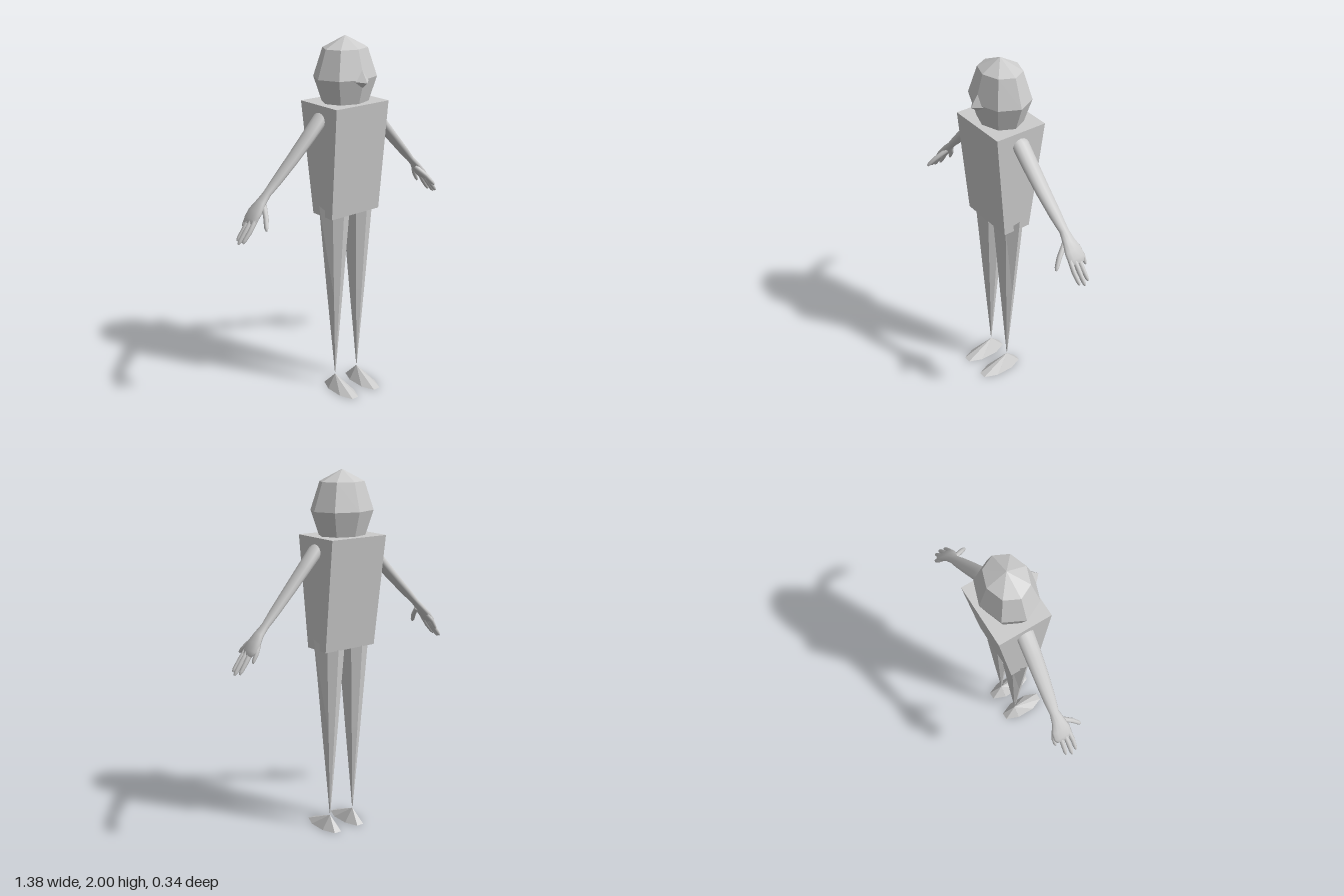
import * as THREE from 'three';

const V = (x, y, z) => new THREE.Vector3(x, y, z);
const material = (flatShading) => new THREE.MeshStandardMaterial({ color: 0xcccccc, flatShading, side: THREE.DoubleSide });
const flat = material(true), smooth = material(false);

function part(name, geometry, mat) {
  const mesh = new THREE.Mesh(geometry, mat);
  mesh.name = name;
  return mesh;
}

// Skin a list of rings, each running counterclockwise about the travel direction
function loft(rings, capStart, capEnd) {
  const n = rings[0].length, points = rings.flat(), index = [];
  for (let i = 0; i < rings.length - 1; i++) {
    for (let j = 0; j < n; j++) {
      const a = i * n + j, b = i * n + (j + 1) % n;
      index.push(a, b, a + n, b, b + n, a + n);
    }
  }
  const cap = (ring, start, flip) => {
    const c = points.length;
    points.push(ring.reduce((s, p) => s.add(p), V(0, 0, 0)).divideScalar(n));
    for (let j = 0; j < n; j++) {
      const a = start + j, b = start + (j + 1) % n;
      index.push(c, flip ? b : a, flip ? a : b);
    }
  };
  if (capStart) cap(rings[0], 0, true);
  if (capEnd) cap(rings.at(-1), (rings.length - 1) * n, false);
  const g = new THREE.BufferGeometry().setFromPoints(points);
  g.setIndex(index);
  g.computeVertexNormals();
  return g;
}

// Horizontal ring about the y axis
const ringY = (n, fn, offset = 0) =>
  Array.from({ length: n }, (_, j) => fn(((j + offset) / n) * Math.PI * 2));

// Tapered limb: stations are [x, y, z, thickness radius, width radius]
function limb(stations, side, sides = 12) {
  const centers = stations.map(([x, y, z]) => V(x * side, y, z));
  const rings = stations.map(([, , , rn, rb], i) => {
    const t = centers[Math.min(i + 1, centers.length - 1)].clone()
      .sub(centers[Math.max(i - 1, 0)]).normalize();
    const n = V(0, 0, 1).cross(t).normalize();
    const b = t.clone().cross(n);
    return ringY(sides, (a) => centers[i].clone()
      .addScaledVector(n, Math.cos(a) * rn).addScaledVector(b, Math.sin(a) * rb));
  });
  return loft(rings, true, true);
}

// Finger with a rounded tip
function finger(base, middle, tip, r, side) {
  const [a, b, c] = [base, middle, tip].map((p) => V(...p));
  const at = (p, k) => [p.x, p.y, p.z, r * k, r * k];
  return limb([at(a, 1.1), at(b, 1.1), at(b.clone().lerp(c, 0.75), 0.9), at(c, 0.45)], side, 8);
}

function arm(side) {
  const group = new THREE.Group();
  group.name = side > 0 ? 'leftArm' : 'rightArm';
  group.add(part('armAndPalm', limb([
    [0.13, 1.612, -0.018, 0.03, 0.04],
    [0.17, 1.587, -0.02, 0.035, 0.047],
    [0.25, 1.502, -0.024, 0.031, 0.045],
    [0.34, 1.407, -0.03, 0.027, 0.041],
    [0.44, 1.305, -0.039, 0.023, 0.034],
    [0.5, 1.245, -0.045, 0.018, 0.026],
    [0.54, 1.205, -0.045, 0.019, 0.036],
    [0.572, 1.165, -0.049, 0.021, 0.052],
    [0.6, 1.13, -0.051, 0.016, 0.053],
    [0.615, 1.11, -0.05, 0.008, 0.044],
  ], side), smooth));
  [
    ['indexFinger', [0.59, 1.14, -0.013], [0.635, 1.08, -0.01], [0.678, 1.028, -0.013], 0.0115],
    ['middleFinger', [0.595, 1.135, -0.038], [0.642, 1.075, -0.039], [0.687, 1.016, -0.042], 0.012],
    ['ringFinger', [0.59, 1.14, -0.063], [0.632, 1.08, -0.067], [0.674, 1.025, -0.072], 0.0115],
    ['littleFinger', [0.565, 1.165, -0.085], [0.59, 1.125, -0.1], [0.615, 1.08, -0.102], 0.0105],
    ['thumb', [0.53, 1.195, -0.03], [0.562, 1.145, 0.03], [0.588, 1.098, 0.068], 0.0125],
  ].forEach(([name, a, b, c, r]) => group.add(part(name, finger(a, b, c, r, side), smooth)));
  return group;
}

// Leg: open inverted cone whose outer rim point rises beside the hip
function leg(side) {
  const ring = (y, r, peak, outer) => ringY(8, (a) => {
    const out = side * Math.sin(a) > 0.9;
    return V(side * 0.08 + Math.sin(a) * (out ? outer : r), out ? peak : y, -0.015 + Math.cos(a) * r);
  });
  return part(side > 0 ? 'leftLeg' : 'rightLeg', loft([
    ring(0.09, 0.002, 0.09, 0.002),
    ring(0.58, 0.043, 0.58, 0.047),
    ring(1.06, 0.081, 1.12, 0.105),
  ], true, false), flat);
}

// Foot: low oval pyramid with its peak towards the heel
function foot(side) {
  const sole = ringY(8, (a) => V(side * 0.08 + 0.056 * Math.sin(a), 0, 0.038 + 0.138 * Math.cos(a)), 0.5);
  const peak = ringY(8, (a) => V(side * 0.08 + 0.001 * Math.sin(a), 0.078, -0.015 + 0.001 * Math.cos(a)), 0.5);
  return part(side > 0 ? 'leftFoot' : 'rightFoot', loft([sole, peak], true, true), flat);
}

export function createModel() {
  const model = new THREE.Group();
  const body = new THREE.Group();
  body.name = 'body';
  body.position.x = -0.004;
  model.add(body);

  // Torso: box narrowing towards the hips
  const torso = new THREE.BoxGeometry(0.35, 0.605, 0.295);
  const p = torso.attributes.position;
  for (let i = 0; i < p.count; i++) {
    if (p.getY(i) < 0) p.setXYZ(i, p.getX(i) * 0.93, p.getY(i), p.getZ(i) * 0.54 + 0.01);
  }
  torso.translate(0, 1.3575, -0.023);
  body.add(part('torso', torso, flat));

  // Head: coarse faceted ball sunk into the torso
  const head = new THREE.SphereGeometry(1, 8, 4);
  head.scale(0.179, 0.21, 0.15).translate(0, 1.79, -0.02);
  body.add(part('head', head, flat));

  // Nose: small pyramid
  const noseBase = [V(0.06, 1.785, 0.1), V(0, 1.84, 0.115), V(-0.06, 1.785, 0.1), V(0, 1.742, 0.11)];
  const noseTip = noseBase.map(() => V(0, 1.777, 0.156));
  body.add(part('nose', loft([noseBase, noseTip], false, false), flat));

  for (const side of [1, -1]) {
    body.add(leg(side), foot(side));
    model.add(arm(side));
  }
  return model;
}
